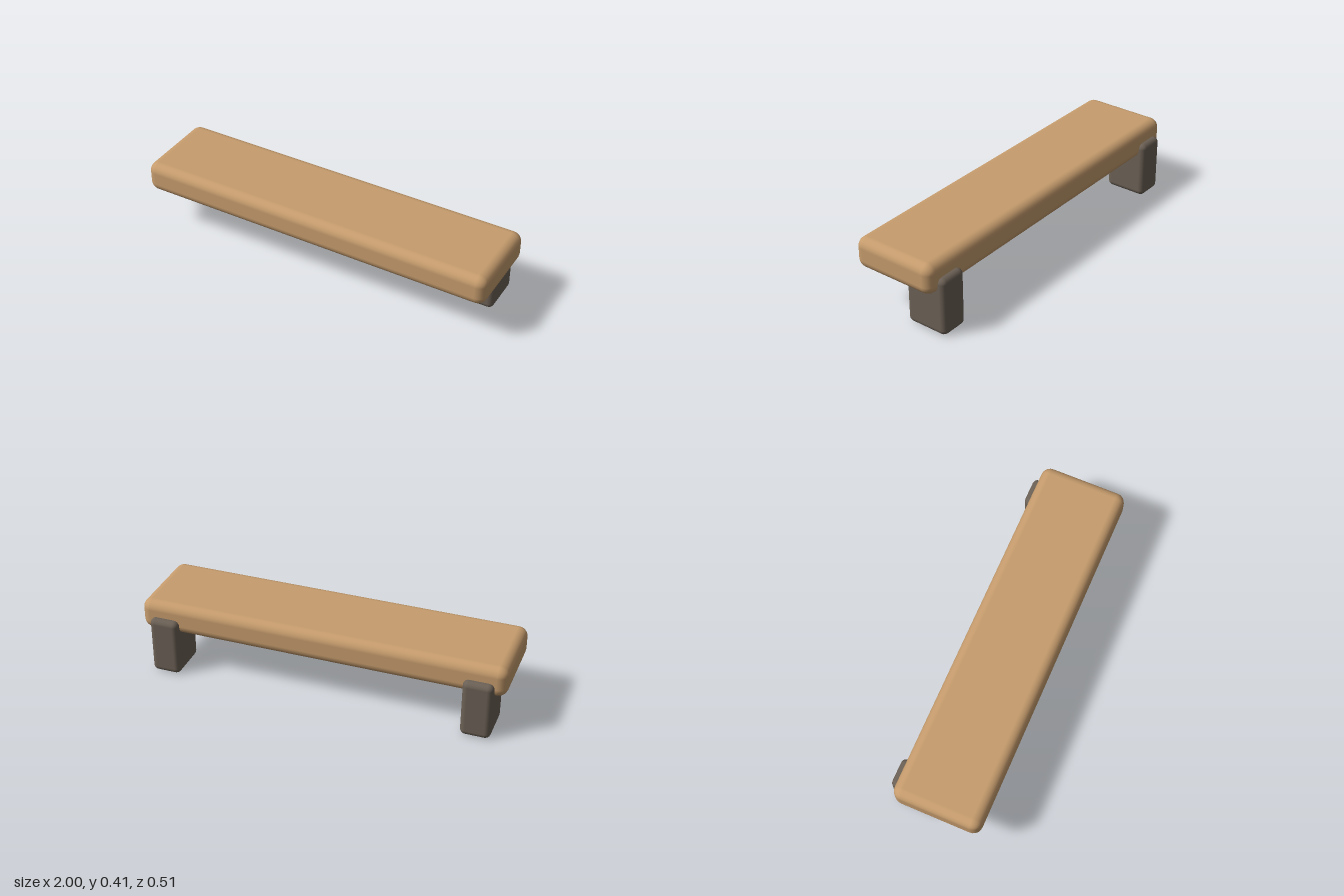
import * as THREE from 'three';
import { RoundedBoxGeometry } from 'three/addons/geometries/RoundedBoxGeometry.js';

// Rounded block given by its minimum and maximum corners
function block(name, min, max, radius, material) {
  const [w, h, d] = max.map((v, i) => v - min[i]);
  const mesh = new THREE.Mesh(new RoundedBoxGeometry(w, h, d, 3, radius), material);
  mesh.position.set(...max.map((v, i) => (v + min[i]) / 2));
  mesh.name = name;
  return mesh;
}

export function createModel() {
  const wood = new THREE.MeshStandardMaterial({ color: 0xc69c6d });
  wood.name = 'wood';
  const stone = new THREE.MeshStandardMaterial({ color: 0x6b6055 });
  stone.name = 'darkStone';

  const bench = new THREE.Group();
  bench.name = 'bench';

  // Long slab seat
  bench.add(block('seat', [-1, 0.236, -0.222], [1, 0.406, 0.257], 0.052, wood));

  // Two supports, set back so they stand proud behind the seat
  for (const side of [-1, 1]) {
    const leg = block(side > 0 ? 'leftLeg' : 'rightLeg',
      [-0.08, 0, -0.257], [0.08, 0.321, -0.017], 0.03, stone);
    leg.position.x = side * 0.86;
    bench.add(leg);
  }
  return bench;
}
